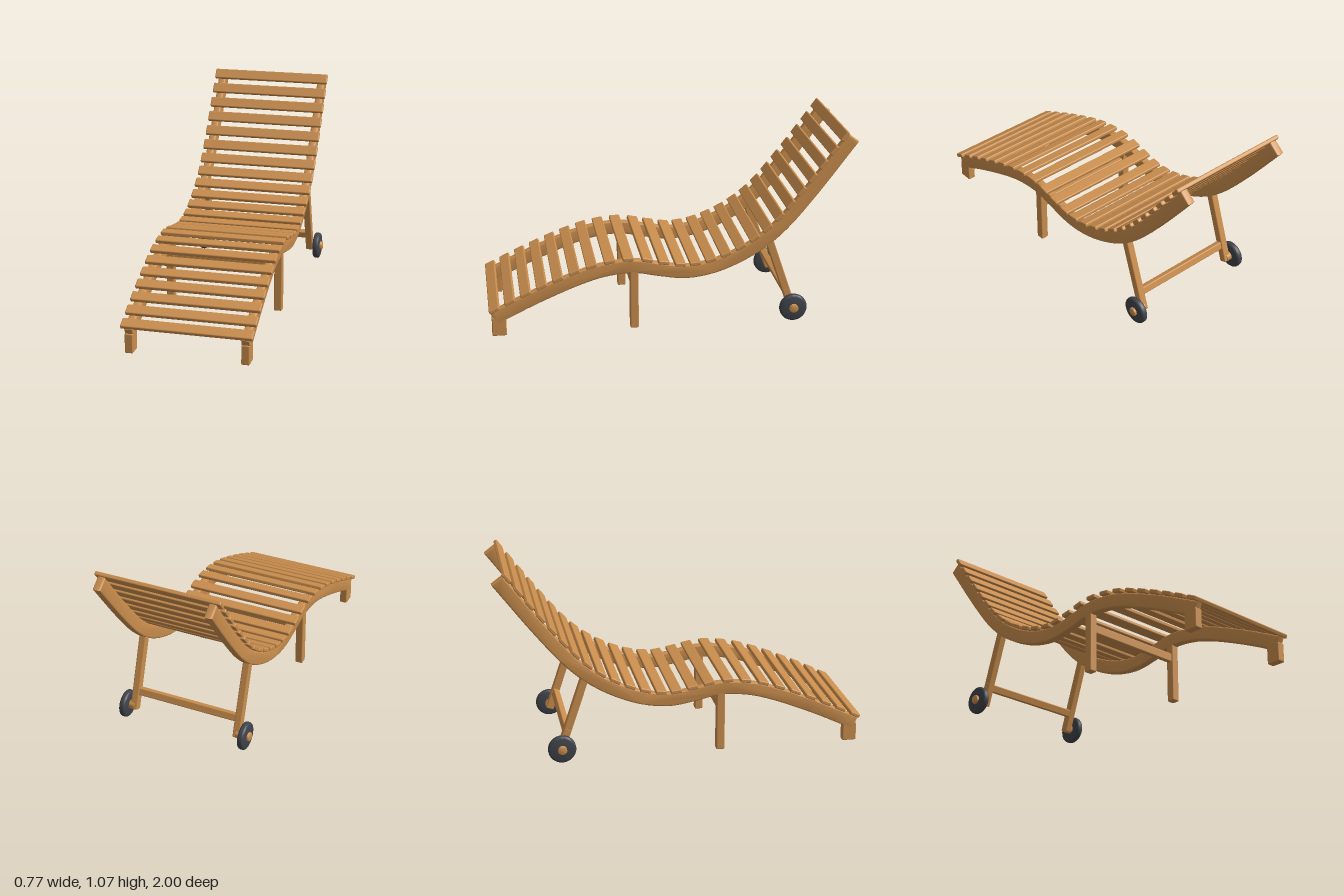
import * as THREE from 'three';
import { toCreasedNormals } from 'three/addons/utils/BufferGeometryUtils.js';
import { RoundedBoxGeometry } from 'three/addons/geometries/RoundedBoxGeometry.js';

const RAIL_X = 0.305, RAIL_W = 0.044, RAIL_H = 0.075;
const AXLE_Y = 0.08, AXLE_Z = -0.657;

export function createModel() {
  const wood = new THREE.MeshStandardMaterial({ name: 'wood', color: 0xc98d4d });
  const rubber = new THREE.MeshStandardMaterial({ name: 'darkRubber', color: 0x3f434a });

  const model = new THREE.Group();
  model.name = 'sunLounger';

  const add = (name, geometry, material, x = 0, y = 0, z = 0, rx = 0) => {
    const mesh = new THREE.Mesh(geometry, material);
    mesh.name = name;
    mesh.position.set(x, y, z);
    mesh.rotation.x = rx;
    model.add(mesh);
    return mesh;
  };
  const board = (w, h, d, r = 0.006) => new RoundedBoxGeometry(w, h, d, 2, r);

  // Centre line of the side rails, from foot to head, as [z, y]
  const curve = new THREE.CatmullRomCurve3([
    [0.98, 0.1], [0.75, 0.21], [0.5, 0.311], [0.37, 0.346], [0.22, 0.358],
    [0.07, 0.33], [-0.06, 0.311], [-0.2, 0.328], [-0.35, 0.383], [-0.49, 0.466],
    [-0.6, 0.563], [-0.75, 0.741], [-0.967, 1.028],
  ].map(([z, y]) => new THREE.Vector3(0, y, z)));
  curve.arcLengthDivisions = 600;

  // Point on the centre line, moved along its upward normal
  const offsetPoint = (u, d) => {
    const p = curve.getPointAt(u), t = curve.getTangentAt(u);
    return { y: p.y - t.z * d, z: p.z + t.y * d, tilt: Math.atan2(t.y, -t.z) };
  };

  // Side rails: the curved outline extruded across the rail width
  const outline = [], steps = 72;
  for (let i = 0; i <= steps; i++) outline.push(offsetPoint(i / steps, RAIL_H / 2));
  for (let i = steps; i >= 0; i--) outline.push(offsetPoint(i / steps, -RAIL_H / 2));
  const bevel = 0.008;
  const railGeo = toCreasedNormals(new THREE.ExtrudeGeometry(
    new THREE.Shape(outline.map((p) => new THREE.Vector2(-p.z, p.y))),
    {
      depth: RAIL_W - 2 * bevel, bevelThickness: bevel, bevelSize: bevel,
      bevelOffset: -bevel, bevelSegments: 3,
    },
  ).translate(0, 0, -(RAIL_W / 2 - bevel)).rotateY(Math.PI / 2), 0.6);

  // Slats, evenly spaced along the rails
  const slatGeo = board(0.69, 0.022, 0.06);
  const count = 25, length = curve.getLength();
  const first = 0.03 / length, last = 1 - 0.02 / length;
  for (let i = 0; i < count; i++) {
    const p = offsetPoint(first + (last - first) * i / (count - 1), RAIL_H / 2 + 0.011);
    add('slat', slatGeo, wood, 0, p.y, p.z, p.tilt);
  }

  // Slanted rear legs run from the rail down to the axle
  const legTop = new THREE.Vector2(-0.518, 0.48), legEnd = new THREE.Vector2(-0.66, 0.06);
  const legDir = legTop.clone().sub(legEnd);
  const legTilt = Math.atan2(legDir.x, legDir.y);
  const rearLegGeo = board(0.04, legDir.length(), 0.044);

  // Wheel and hub profiles, turned about the axle
  const wheelProfile = [
    [0, -0.018], [0.064, -0.018], [0.07, -0.016], [0.074, -0.012], [0.076, -0.006],
    [0.076, 0.006], [0.074, 0.012], [0.07, 0.016], [0.064, 0.018], [0, 0.018],
  ].map(([r, h]) => new THREE.Vector2(r, h));
  const wheelGeo = toCreasedNormals(
    new THREE.LatheGeometry(wheelProfile, 40).rotateZ(-Math.PI / 2), 0.6);
  const hubProfile = [
    [0, -0.04], [0.025, -0.04], [0.025, 0.034], [0.023, 0.038], [0.019, 0.04], [0, 0.04],
  ].map(([r, h]) => new THREE.Vector2(r, h));
  const hubGeo = toCreasedNormals(
    new THREE.LatheGeometry(hubProfile, 24).rotateZ(-Math.PI / 2), 0.6);

  for (const [side, s] of [['left', 1], ['right', -1]]) {
    add(`${side}Rail`, railGeo, wood, s * RAIL_X);
    add(`${side}FrontLeg`, board(RAIL_W, 0.105, 0.078), wood, s * RAIL_X, 0.0525, 0.95);
    add(`${side}MiddleLeg`, board(RAIL_W, 0.35, 0.046), wood, s * RAIL_X, 0.175, 0.217);
    add(`${side}RearLeg`, rearLegGeo, wood, s * RAIL_X,
      (legTop.y + legEnd.y) / 2, (legTop.x + legEnd.x) / 2, legTilt);
    add(`${side}Wheel`, wheelGeo, rubber, s * 0.351, AXLE_Y, AXLE_Z);
    const hub = add(`${side}Hub`, hubGeo, wood, s * 0.343, AXLE_Y, AXLE_Z);
    hub.rotation.y = s > 0 ? 0 : Math.PI;
  }

  // Cross bars between the legs
  add('middleCrossBar', board(0.6, 0.05, 0.028), wood, 0, 0.25, 0.217);
  add('rearCrossBar', board(0.652, 0.042, 0.036), wood, 0, 0.16, -0.624, legTilt);

  return model;
}
